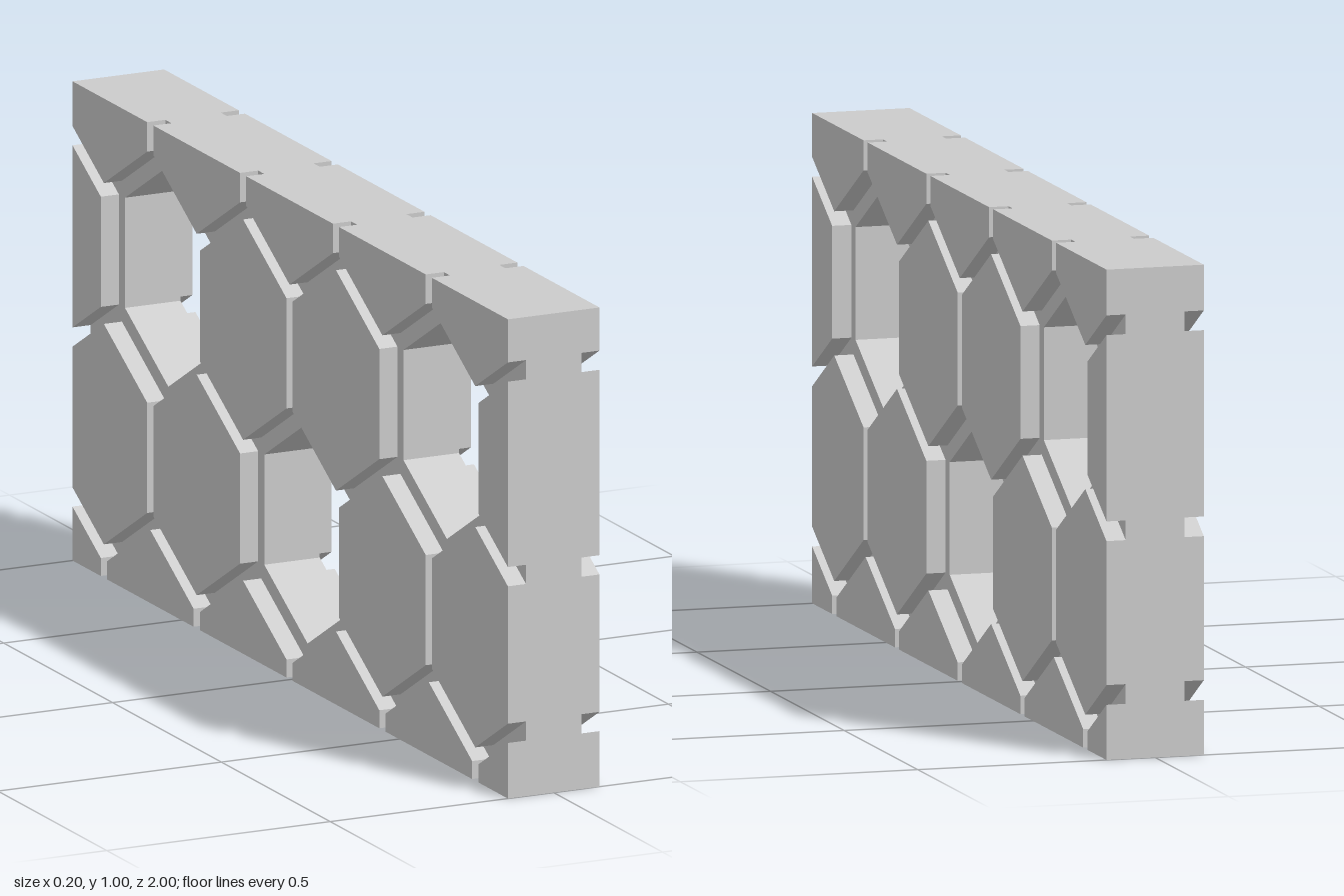
import * as THREE from 'three';

const PITCH = 0.4265, ROW = 0.377, R = 0.23; // honeycomb spacing and tile radius
const Y0 = 0.2995, U0 = 0.003;               // centre of the lower middle cell
const CORE = 0.062, FACE = 0.1025;           // half thickness at groove floor and at tile face

// Pointy-top hexagon in the plane of the panel (u = -z, y)
function hexagon(u, y) {
  return Array.from({ length: 6 }, (_, i) => {
    const a = Math.PI / 6 + i * Math.PI / 3;
    return new THREE.Vector2(u + R * Math.cos(a), y + R * Math.sin(a));
  });
}

// Keep the part of a polygon where sign * (p[axis] - limit) <= 0
function clip(points, axis, limit, sign) {
  const out = [];
  points.forEach((p, i) => {
    const q = points[(i + 1) % points.length];
    const dp = sign * (p[axis] - limit), dq = sign * (q[axis] - limit);
    if (dp <= 0) out.push(p);
    if ((dp < 0 && dq > 0) || (dp > 0 && dq < 0)) out.push(p.clone().lerp(q, dp / (dp - dq)));
  });
  return out;
}

function clipToPanel(points) {
  const edges = [['x', 1, 1], ['x', -1, -1], ['y', 1, 1], ['y', 0, -1]];
  return edges.reduce((pts, e) => clip(pts, ...e), points);
}

// Extrude a panel-plane shape from x0 to x1
function slab(shape, x0, x1) {
  return new THREE.ExtrudeGeometry(shape, { depth: x1 - x0, bevelEnabled: false })
    .translate(0, 0, x0).rotateY(Math.PI / 2);
}

export function createModel() {
  const group = new THREE.Group();
  group.name = 'honeycombPanel';
  const material = new THREE.MeshStandardMaterial({ color: 0xcccccc, flatShading: true });
  const add = (geometry, name) => {
    const mesh = new THREE.Mesh(geometry, material);
    mesh.name = name;
    group.add(mesh);
  };

  // Core plate, pierced by the open cells
  const plate = new THREE.Shape([[-1, 0], [1, 0], [1, 1], [-1, 1]].map(p => new THREE.Vector2(...p)));

  // Raised tiles on both faces, trimmed at the panel border
  for (let row = -1; row <= 2; row++) {
    const offset = row % 2 === 0 ? 0 : 0.5;
    for (let k = -3; k <= 3; k++) {
      const col = k + offset;
      const hex = hexagon(U0 + col * PITCH, Y0 + row * ROW);
      const open = (row === 0 && col === 0) || (row === 1 && Math.abs(col) === 1.5);
      if (open) {
        plate.holes.push(new THREE.Path(hex));
        continue;
      }
      const outline = clipToPanel(hex);
      if (outline.length < 3) continue;
      const shape = new THREE.Shape(outline);
      add(slab(shape, CORE, FACE), 'leftTile');
      add(slab(shape, -FACE, -CORE), 'rightTile');
    }
  }

  add(slab(plate, -CORE, CORE), 'corePlate');
  return group;
}
